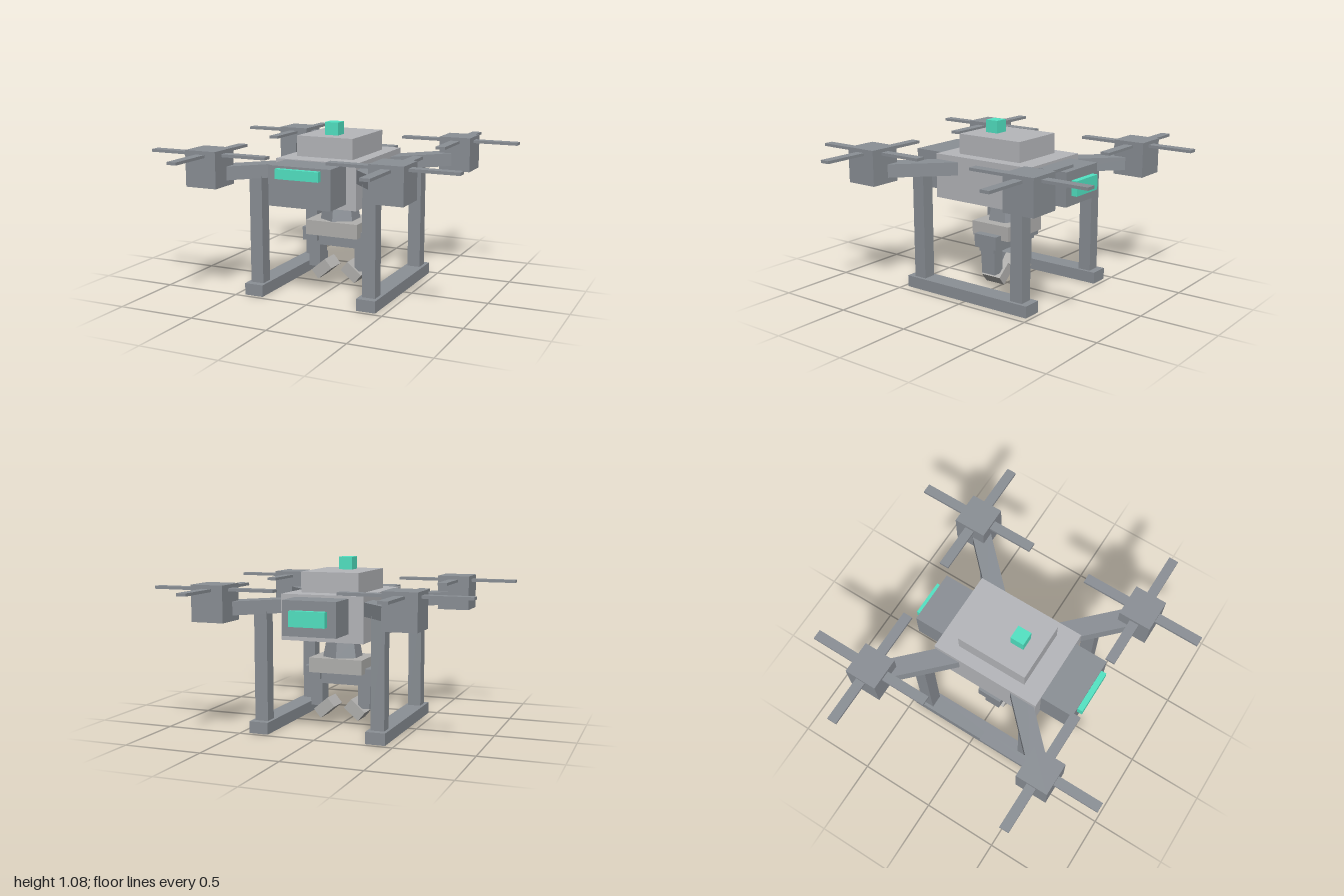
import * as THREE from 'three';

const paint = (color) => new THREE.MeshStandardMaterial({ color, flatShading: true });
const dark = paint(0x8b9096);
const light = paint(0xb6b7bb);
const warm = paint(0xb2b1af);
const teal = paint(0x52e4c4);

// Box given by its size and centre
function box(parent, name, size, pos, material = dark) {
  const mesh = new THREE.Mesh(new THREE.BoxGeometry(...size), material);
  mesh.name = name;
  mesh.position.set(...pos);
  parent.add(mesh);
  return mesh;
}

function createHull() {
  const hull = new THREE.Group();
  hull.name = 'hull';
  box(hull, 'body', [0.54, 0.287, 0.726], [0, 0.727, 0], light);
  box(hull, 'topHousing', [0.38, 0.14, 0.47], [0, 0.93, 0], light);
  box(hull, 'beacon', [0.09, 0.085, 0.09], [0, 1.038, 0.09], teal);
  box(hull, 'nose', [0.41, 0.246, 0.235], [0, 0.743, 0.464]);
  box(hull, 'frontLight', [0.285, 0.06, 0.04], [0, 0.822, 0.597], teal);
  box(hull, 'rearHousing', [0.345, 0.215, 0.225], [0, 0.747, -0.453]);
  box(hull, 'rearLight', [0.23, 0.095, 0.045], [0, 0.748, -0.582], teal);
  return hull;
}

// Diagonal arm, motor and crossed blades for one corner
function createRotor(sx, sz) {
  const rotor = new THREE.Group();
  rotor.name = `${sz > 0 ? 'front' : 'rear'}${sx > 0 ? 'Left' : 'Right'}Rotor`;
  const x = 0.6 * sx, z = 0.6 * sz;
  const arm = box(rotor, 'arm', [0.12, 0.085, 0.56], [0.4 * sx, 0.792, 0.4 * sz]);
  arm.rotation.y = sx * sz * Math.PI / 4;
  box(rotor, 'motor', [0.21, 0.225, 0.21], [x, 0.828, z]);
  box(rotor, 'bladeAcross', [0.8, 0.018, 0.062], [x, 0.909, 0.601 * sz]);
  box(rotor, 'bladeAlong', [0.062, 0.018, 0.8], [x, 0.909, z]);
  return rotor;
}

function createLandingGear(side) {
  const gear = new THREE.Group();
  gear.name = side > 0 ? 'leftLandingGear' : 'rightLandingGear';
  box(gear, 'skid', [0.125, 0.075, 0.945], [0.383 * side, 0.0375, 0]);
  for (const sz of [1, -1]) {
    box(gear, sz > 0 ? 'frontLeg' : 'rearLeg', [0.086, 0.7, 0.086], [0.382 * side, 0.415, 0.384 * sz]);
  }
  return gear;
}

function createGripper() {
  const gripper = new THREE.Group();
  gripper.name = 'gripper';
  box(gripper, 'mountPlate', [0.325, 0.036, 0.216], [0, 0.568, 0]);
  // Hexagonal neck, wider at the bottom
  const neck = new THREE.Mesh(new THREE.CylinderGeometry(0.108, 0.13, 0.115, 6), dark);
  neck.name = 'neck';
  neck.position.y = 0.497;
  gripper.add(neck);
  box(gripper, 'wrist', [0.36, 0.095, 0.286], [0, 0.396, 0], warm);
  box(gripper, 'palm', [0.44, 0.085, 0.115], [0, 0.308, 0]);
  for (const side of [1, -1]) {
    const claw = new THREE.Group();
    claw.name = side > 0 ? 'leftClaw' : 'rightClaw';
    box(claw, 'knuckle', [0.105, 0.086, 0.168], [0.181 * side, 0.337, 0]);
    box(claw, 'finger', [0.08, 0.19, 0.105], [0.163 * side, 0.21, 0]);
    const tip = box(claw, 'fingertip', [0.125, 0.075, 0.142], [0.105 * side, 0.105, 0], warm);
    tip.rotation.z = -side * 0.7;
    gripper.add(claw);
  }
  return gripper;
}

export function createModel() {
  const drone = new THREE.Group();
  drone.name = 'drone';
  drone.add(createHull(), createGripper());
  for (const sx of [1, -1]) {
    drone.add(createLandingGear(sx));
    for (const sz of [1, -1]) drone.add(createRotor(sx, sz));
  }
  return drone;
}
